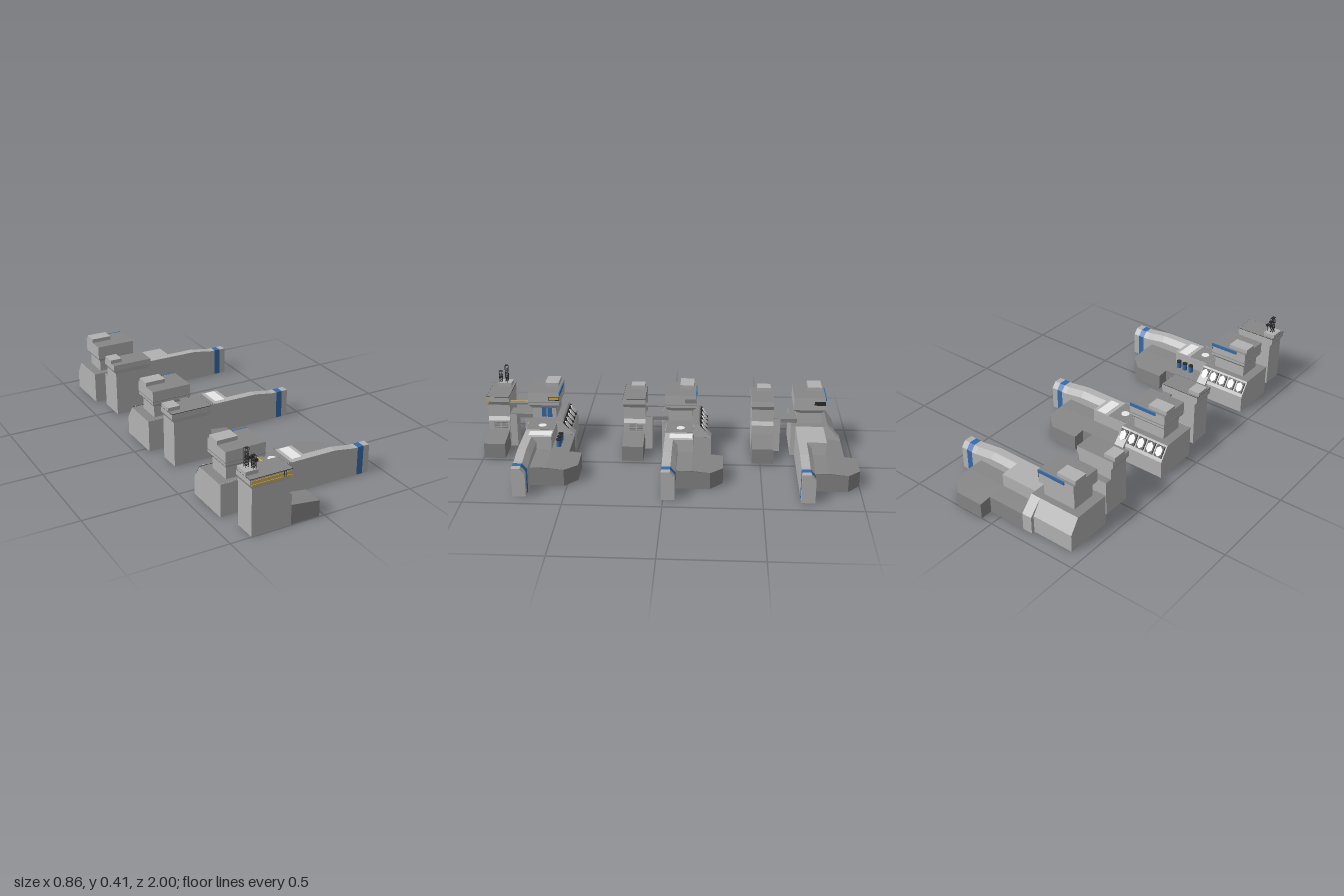
import * as THREE from 'three';

const mat = (name, color) => {
  const m = new THREE.MeshStandardMaterial({ color, side: THREE.DoubleSide });
  m.name = name;
  return m;
};

export function createModel() {
  const light = mat('light grey', 0xb2b2b2), dark = mat('dark grey', 0x868686);
  const blue = mat('blue', 0x336bac), yellow = mat('yellow', 0xdcae38);
  const white = mat('off white', 0xeaeaea), black = mat('near black', 0x2c2c2c);

  // Flat convex polygons, fan triangulated
  function faces(parent, name, material, polys) {
    const pos = [];
    for (const p of polys)
      for (let i = 1; i < p.length - 1; i++) pos.push(...p[0], ...p[i], ...p[i + 1]);
    const g = new THREE.BufferGeometry();
    g.setAttribute('position', new THREE.Float32BufferAttribute(pos, 3));
    g.computeVertexNormals();
    const m = new THREE.Mesh(g, material);
    m.name = name;
    parent.add(m);
  }

  // Walls between cross-sections; "closed" joins the last point to the first
  function loft(parent, name, material, rings, closed) {
    const polys = [];
    for (let r = 0; r < rings.length - 1; r++) {
      const a = rings[r], b = rings[r + 1], n = a.length;
      for (let i = 0; i < (closed ? n : n - 1); i++) {
        const j = (i + 1) % n;
        polys.push([a[i], b[i], b[j], a[j]]);
      }
    }
    faces(parent, name, material, polys);
  }

  // Box given by its limits
  function box(parent, name, material, x0, x1, y0, y1, z0, z1) {
    const m = new THREE.Mesh(new THREE.BoxGeometry(x1 - x0, y1 - y0, z1 - z0), material);
    m.position.set((x0 + x1) / 2, (y0 + y1) / 2, (z0 + z1) / 2);
    m.name = name;
    parent.add(m);
    return m;
  }

  function cylinder(parent, name, material, r, h, x, y, z, sides = 16) {
    const m = new THREE.Mesh(new THREE.CylinderGeometry(r, r, h, sides), material);
    m.position.set(x, y, z);
    m.name = name;
    parent.add(m);
    return m;
  }

  // Tower from rectangles [y, x0, x1, z0, z1], with a dark roof
  function tower(parent, name, levels) {
    const rings = levels.map(([y, a, b, c, d]) => [[a, y, d], [b, y, d], [b, y, c], [a, y, c]]);
    loft(parent, name, light, rings, true);
    faces(parent, name + 'Roof', dark, [rings[rings.length - 1]]);
  }

  function hull(g) {
    // Stern block with sloping back, a little deeper at its inner end
    const section = (x, back) => [[x, 0, 0.035], [x, 0.17, 0.035], [x, 0.17, -0.165], [x, 0.095, back], [x, 0, back]];
    const a = section(-0.43, -0.217), b = section(-0.2, -0.217), c = section(-0.2, -0.235), d = section(-0.145, -0.235);
    const back = (p, q) => [[p[0], q[0], q[1], p[1]], [p[2], q[2], q[3], p[3]], [p[3], q[3], q[4], p[4]]];
    faces(g, 'sternBlock', light, [
      a, ...back(a, b), ...back(c, d), [b[2], c[3], b[3]], [b[3], c[3], c[4], b[4]],
      [d[0], d[1], [-0.145, 0.17, 0.01], [-0.145, 0, 0.01]],
      [[-0.145, 0.17, 0.01], d[2], d[3], [-0.145, 0.095, 0.01]],
    ]);
    faces(g, 'sternDeck', dark, [[a[1], d[1], d[2], a[2]]]);
    // Middle hull
    const x0 = -0.145, x1 = 0.065;
    faces(g, 'middleHull', light, [
      [[x0, 0, 0.01], [x1, 0, 0.01], [x1, 0.17, 0.01], [x0, 0.17, 0.01]],
      [[x0, 0.17, 0.01], [x1, 0.17, 0.01], [x1, 0.17, -0.14], [x0, 0.17, -0.14]],
      [[x0, 0.17, -0.14], [x1, 0.17, -0.14], [x1, 0.1, -0.14], [x0, 0.1, -0.14]],
      [[x1, 0.1, -0.14], [x1, 0.17, -0.14], [x1, 0.17, -0.035], [x1, 0.14, -0.06], [x1, 0.1, -0.06]],
    ]);
    // Long nose with a blue stripe
    const nose = (x, h, low = 0) => [[x, 0, 0.01], [x, h, 0.01], [x, h, -0.035], [x, h - 0.03, -0.06], [x, low, -0.06]];
    loft(g, 'nose', light, [nose(0.065, 0.17, 0.09), nose(0.22, 0.17, 0.09), nose(0.293, 0.159, 0.09)]);
    loft(g, 'noseFront', light, [nose(0.293, 0.159), nose(0.33, 0.153), nose(0.357, 0.153)]);
    loft(g, 'noseStripe', blue, [nose(0.357, 0.153), nose(0.391, 0.153)]);
    loft(g, 'noseTip', light, [nose(0.391, 0.153), nose(0.425, 0.153)]);
    faces(g, 'noseEnd', light, [nose(0.425, 0.153)]);
    // Low side deck with a cut corner
    const deckY = z => 0.1 + Math.min(0, z + 0.14) * 0.1;
    const edge = [[-0.145, -0.235], [0.065, -0.235], [0.065, -0.3], [0.22, -0.3], [0.293, -0.235], [0.293, -0.06]];
    loft(g, 'sideDeckWall', dark, [edge.map(([x, z]) => [x, 0, z]), edge.map(([x, z]) => [x, deckY(z), z])]);
    const top = pts => pts.map(([x, z]) => [x, deckY(z), z]);
    faces(g, 'sideDeckTop', dark, [
      top([[-0.145, -0.14], [0.065, -0.14], [0.065, -0.235], [-0.145, -0.235]]),
      top([[0.065, -0.14], [0.293, -0.14], [0.293, -0.235], [0.22, -0.3], [0.065, -0.3]]),
      top([[0.065, -0.06], [0.293, -0.06], [0.293, -0.14], [0.065, -0.14]]),
    ]);
  }

  function towers(g, detail) {
    // Main tower
    tower(g, 'mainTower', [
      [0.17, -0.38, -0.195, -0.13, 0.0], [0.23, -0.38, -0.195, -0.13, 0.0],
      [0.25, -0.395, -0.182, -0.15, 0.02], [0.322, -0.395, -0.182, -0.15, 0.02]]);
    box(g, 'mainRoofBox', light, -0.395, -0.285, 0.32, 0.343, -0.135, -0.06);
    box(g, 'roofBlueStrip', blue, -0.34, -0.182, 0.306, 0.3225, -0.154, -0.148);
    box(g, 'mainSideWindow', detail === 1 ? dark : black, -0.184, -0.18, 0.279, 0.301, -0.15, -0.09);
    // Front tower
    tower(g, 'frontTower', [
      [0, -0.39, -0.18, 0.127, 0.246], [0.155, -0.39, -0.18, 0.127, 0.246],
      [0.175, -0.39, -0.195, 0.127, 0.246], [0.243, -0.39, -0.195, 0.127, 0.246],
      [0.265, -0.403, -0.182, 0.127, 0.25], [0.295, -0.403, -0.182, 0.127, 0.25]]);
    box(g, 'frontRoofBox', light, -0.405, -0.34, 0.295, 0.315, 0.14, 0.215);
    tower(g, 'frontTowerBack', [0, 0.19].map(y => [y, detail ? -0.28 : -0.39, -0.19, 0.09, 0.128]));
    // Low wing with a falling roof
    const wing = (x, h) => [[x, 0, 0.245], [x, h, 0.245], [x, h, 0.13], [x, 0, 0.13]];
    loft(g, 'lowWing', dark, [wing(-0.18, 0.103), wing(-0.025, 0.083)]);
    faces(g, 'lowWingEnd', dark, [wing(-0.025, 0.083)]);
    // Bridge between the towers
    box(g, 'bridge', dark, -0.28, -0.195, 0.17, 0.192, 0.0, 0.128);
  }

  function fineParts(g) {
    // Tilted vents on the stern slope
    for (let i = 0; i < 5; i++) {
      const vent = new THREE.Group();
      vent.name = 'sternVent';
      vent.position.set(-0.4 + i * 0.057, 0.138, -0.192);
      vent.rotation.x = -0.96;
      box(vent, 'ventFrame', black, -0.023, 0.023, -0.003, 0.004, -0.031, 0.031);
      cylinder(vent, 'ventCap', white, 0.02, 0.005, 0, 0.006, 0, 6).scale.z = 1.4;
      g.add(vent);
    }
    // Deck markings
    box(g, 'deckPlate', dark, -0.143, -0.03, 0.168, 0.171, -0.138, 0.008);
    box(g, 'whitePad', white, -0.01, 0.045, 0.168, 0.1715, -0.135, -0.015);
    cylinder(g, 'whiteDisc', white, 0.022, 0.005, -0.09, 0.17, -0.07, 24);
    // Upper catwalk
    box(g, 'catwalk', dark, -0.245, -0.2, 0.245, 0.253, 0.015, 0.13);
    // Tier lines around both tower heads
    box(g, 'mainTierLine', dark, -0.397, -0.18, 0.265, 0.268, -0.152, 0.022);
    box(g, 'frontTierLine', black, -0.404, -0.181, 0.2925, 0.2945, 0.126, 0.251);
    // Louvres above the low wing
    for (const z of [0.14, 0.182])
      for (let i = 0; i < 4; i++)
        box(g, 'louvre', dark, -0.181, -0.178, 0.112 + i * 0.01, 0.117 + i * 0.01, z, z + 0.034);
    // Front edge railings
    const rails = [[-0.43, -0.145, 0.034], [-0.145, -0.03, 0.009]];
    for (const [a, b, z] of rails) {
      box(g, 'railing', light, a, b, 0.174, 0.1755, z - 0.001, z + 0.001);
      for (let x = a; x <= b; x += 0.01)
        box(g, 'railPost', light, x, x + 0.0015, 0.17, 0.175, z - 0.001, z + 0.001);
    }
  }

  // Lattice mast with crossed braces
  function mast(g, x, z, top, w) {
    const m = new THREE.Group();
    m.name = 'latticeMast';
    const base = 0.314, t = 0.0008;
    for (const sx of [-1, 1]) for (const sz of [-1, 1])
      box(m, 'mastLeg', black, x + sx * w - t, x + sx * w + t, base, top, z + sz * w - t, z + sz * w + t);
    for (let y = base + 0.008, i = 0; y < top - 0.02; y += 0.008, i++)
      for (const s of [-1, 1]) {
        const tilt = (i % 2 ? 1 : -1) * 0.5;
        box(m, 'mastBrace', black, x - w, x + w, y - t, y + t, z + s * w - t, z + s * w + t).rotation.z = tilt;
        box(m, 'mastBrace', black, x + s * w - t, x + s * w + t, y - t, y + t, z - w, z + w).rotation.x = tilt;
      }
    box(m, 'mastTop', black, x - w, x + w, top - 0.002, top, z - w, z + w);
    g.add(m);
  }

  function finestParts(g) {
    // Yellow window bands on the front tower, with a dark door frame
    for (const y of [0.262, 0.28]) {
      box(g, 'yellowBand', yellow, -0.397, -0.19, y - 0.0045, y + 0.0045, 0.246, 0.2525);
      box(g, 'yellowSideBand', yellow, -0.184, -0.181, y - 0.0045, y + 0.0045, 0.238, 0.25);
    }
    for (const x of [-0.228, -0.218])
      box(g, 'doorFrame', black, x - 0.0012, x + 0.0012, 0.264, 0.292, 0.249, 0.2535);
    // Yellow window of the main tower
    box(g, 'yellowWindow', yellow, -0.184, -0.179, 0.283, 0.298, -0.148, -0.093);
    box(g, 'catwalkStripe', yellow, -0.234, -0.225, 0.252, 0.2545, 0.02, 0.13);
    // Blue panels on the main tower neck
    for (const z of [-0.107, -0.076])
      box(g, 'bluePanel', blue, -0.197, -0.192, 0.178, 0.232, z, z + 0.025);
    // Small tanks on the side deck
    for (const x of [-0.06, -0.02, 0.02]) {
      cylinder(g, 'tank', blue, 0.013, 0.036, x, 0.117, -0.172);
      cylinder(g, 'tankCap', black, 0.014, 0.006, x, 0.138, -0.172);
    }
    // Masts and dishes
    mast(g, -0.375, 0.17, 0.41, 0.008);
    mast(g, -0.355, 0.2, 0.383, 0.008);
    for (const [x, y, z] of [[-0.343, 0.355, 0.2], [-0.363, 0.355, 0.165], [-0.345, 0.352, 0.165]])
      cylinder(g, 'dish', black, 0.009, 0.01, x, y, z, 12).rotation.x = Math.PI / 2;
    cylinder(g, 'dishPole', black, 0.002, 0.04, -0.344, 0.334, 0.165, 6);
  }

  // Three copies, from most to least detailed
  const model = new THREE.Group();
  model.name = 'shipyardBuildings';
  [[0.75, 2, 'detailedBuilding'], [0, 1, 'plainBuilding'], [-0.7, 0, 'simpleBuilding']].forEach(([z, detail, name]) => {
    const g = new THREE.Group();
    g.name = name;
    g.position.z = z;
    hull(g);
    towers(g, detail);
    if (detail > 0) fineParts(g);
    if (detail > 1) finestParts(g);
    model.add(g);
  });
  return model;
}
